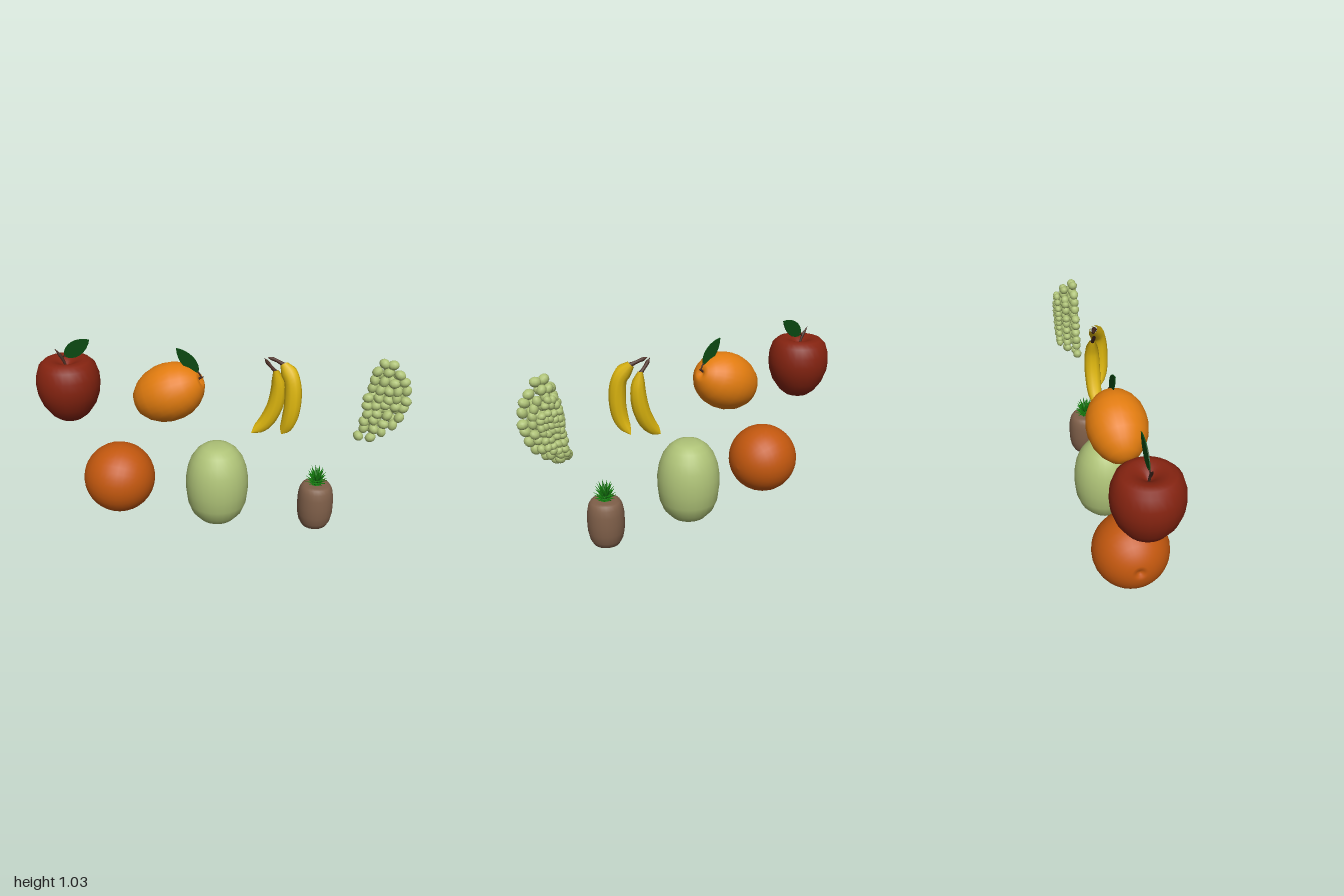
import * as THREE from 'three';

const mat = (name, color, extra = {}) => {
  const m = new THREE.MeshStandardMaterial({ color, ...extra });
  m.name = name;
  return m;
};

const V = (x, y, z = 0) => new THREE.Vector3(x, y, z);

export function createModel() {
  const M = {
    red: mat('apple red', 0x842310),
    orange: mat('deep orange', 0xc2570e),
    mango: mat('light orange', 0xe27c0f),
    green: mat('pale green', 0xaec277),
    yellow: mat('banana yellow', 0xddb60f),
    brown: mat('pineapple brown', 0x7f5f49),
    leaf: mat('dark leaf green', 0x0b4a12, { side: THREE.DoubleSide }),
    crown: mat('crown green', 0x16800f),
    stem: mat('stem brown', 0x4a2c22),
  };
  const root = new THREE.Group();
  root.name = 'fruitCollection';

  const group = (name, x = 0, y = 0, z = 0) => {
    const g = new THREE.Group();
    g.name = name;
    g.position.set(x, y, z);
    root.add(g);
    return g;
  };
  const add = (parent, name, geo, material) => {
    const m = new THREE.Mesh(geo, material);
    m.name = name;
    parent.add(m);
    return m;
  };
  const lathe = (pts, segs = 28) =>
    new THREE.LatheGeometry(pts.map(([r, y]) => new THREE.Vector2(r, y)), segs);

  // Tube whose radius follows a list of values spread along the path
  const taperedTube = (points, radii, n = 16, sides = 10) => {
    const curve = new THREE.CatmullRomCurve3(points);
    const geo = new THREE.TubeGeometry(curve, n, 1, sides);
    const pos = geo.attributes.position;
    const v = V(0, 0);
    for (let i = 0; i <= n; i++) {
      const c = curve.getPointAt(i / n);
      const t = (i / n) * (radii.length - 1);
      const k = Math.min(Math.floor(t), radii.length - 2);
      const r = THREE.MathUtils.lerp(radii[k], radii[k + 1], t - k);
      for (let j = 0; j <= sides; j++) {
        const id = i * (sides + 1) + j;
        v.fromBufferAttribute(pos, id).sub(c).multiplyScalar(r).add(c);
        pos.setXYZ(id, v.x, v.y, v.z);
      }
    }
    return geo;
  };

  // Flat pointed leaf from a base point to a tip, standing in the xy plane
  const addLeaf = (parent, name, base, tip, width) => {
    const d = tip.clone().sub(base);
    const L = d.length();
    const s = new THREE.Shape();
    s.moveTo(0, 0);
    s.bezierCurveTo(L * 0.2, width * 1.4, L * 0.7, width * 1.2, L, 0);
    s.bezierCurveTo(L * 0.7, -width * 1.2, L * 0.2, -width * 1.4, 0, 0);
    const geo = new THREE.ExtrudeGeometry(s, { depth: 0.005, bevelEnabled: false, curveSegments: 8 });
    geo.translate(0, 0, -0.0025);
    const m = add(parent, name, geo, M.leaf);
    m.position.copy(base);
    m.rotation.z = Math.atan2(d.y, d.x);
  };

  // Apple with dimples, stem and leaf
  const apple = group('apple', -0.827, 0.555);
  add(apple, 'appleBody', lathe([
    [0, 0.05], [0.03, 0.035], [0.05, 0.003], [0.07, 0], [0.105, 0.028], [0.145, 0.085],
    [0.168, 0.15], [0.173, 0.2], [0.17, 0.25], [0.152, 0.305], [0.125, 0.33], [0.095, 0.337],
    [0.06, 0.328], [0.03, 0.31], [0, 0.285],
  ]), M.red);
  add(apple, 'appleStem', taperedTube(
    [V(0, 0.28), V(-0.025, 0.34), V(-0.065, 0.392)], [0.006, 0.007, 0.009, 0], 12, 6), M.stem);
  add(apple, 'appleTwig', taperedTube(
    [V(-0.024, 0.338), V(-0.015, 0.352), V(0.002, 0.36)], [0.004, 0.004], 4, 6), M.stem);
  addLeaf(apple, 'appleLeaf', V(-0.012, 0.352), V(0.138, 0.456), 0.043);

  // Round orange with its navel facing sideways
  const orange = group('orange', -0.565, 0.2);
  const ball = [];
  for (let i = 0; i <= 17; i++) {
    const a = -Math.PI / 2 + (i / 18) * Math.PI * 0.985;
    ball.push([Math.max(0, 0.2 * Math.cos(a)), 0.2 * Math.sin(a)]);
  }
  ball.push([0.025, 0.194], [0.014, 0.183], [0, 0.18]);
  add(orange, 'orangeBody', lathe(ball, 32), M.orange).rotation.z = 1.5;

  // Tilted oval fruit with stem and leaf
  const mango = group('mango', -0.262, 0.75);
  add(mango, 'mangoBody', lathe([
    [0, -0.197], [0.035, -0.195], [0.075, -0.175], [0.115, -0.132], [0.142, -0.08], [0.155, -0.02],
    [0.155, 0.03], [0.144, 0.085], [0.12, 0.132], [0.085, 0.17], [0.05, 0.193], [0.03, 0.198],
    [0.016, 0.188], [0, 0.183],
  ]), M.mango).rotation.z = -1.134;
  add(mango, 'mangoStem', taperedTube(
    [V(0.155, 0.078), V(0.175, 0.098), V(0.195, 0.106)], [0.005, 0.006, 0.006, 0], 10, 6), M.stem);
  add(mango, 'mangoTwig', taperedTube(
    [V(0.178, 0.1), V(0.173, 0.115), V(0.16, 0.135)], [0.004, 0.004], 5, 6), M.stem);
  addLeaf(mango, 'mangoLeaf', V(0.165, 0.126), V(0.047, 0.252), 0.038);

  // Tall pale melon
  const melon = group('melon', 0.002, 0);
  add(melon, 'melonBody', lathe([
    [0, 0.018], [0.04, 0.008], [0.06, 0], [0.1, 0.02], [0.14, 0.065], [0.163, 0.125], [0.172, 0.2],
    [0.172, 0.265], [0.162, 0.33], [0.142, 0.385], [0.112, 0.428], [0.078, 0.455], [0.042, 0.465], [0, 0.465],
  ]), M.green);

  // Pineapple body and rings of pointed crown leaves
  const pineapple = group('pineapple', 0.548, 0);
  add(pineapple, 'pineappleBody', lathe([
    [0, 0.03], [0.045, 0.03], [0.07, 0.045], [0.086, 0.075], [0.095, 0.12], [0.097, 0.17],
    [0.095, 0.225], [0.088, 0.262], [0.076, 0.284], [0.06, 0.29], [0, 0.29],
  ], 24), M.brown);
  const crown = new THREE.Group();
  crown.name = 'pineappleCrown';
  pineapple.add(crown);
  const core = add(crown, 'crownCore', new THREE.CylinderGeometry(0.014, 0.028, 0.05, 10), M.crown);
  core.position.y = 0.31;
  // [base height, tilt from upright, leaf length]
  [[0.295, 1.3, 0.052], [0.304, 1.0, 0.056], [0.316, 0.72, 0.06], [0.326, 0.42, 0.066]].forEach(([y, tilt, len], ring) => {
    for (let i = 0; i < 10; i++) {
      const blade = new THREE.ConeGeometry(0.012, len, 4);
      blade.scale(1, 1, 0.5);
      blade.translate(0, len / 2, 0);
      blade.rotateX(tilt);
      blade.translate(0, y, 0.012);
      blade.rotateY(((i + ring * 0.5) / 10) * Math.PI * 2);
      add(crown, 'crownLeaf', blade, M.crown);
    }
  });

  // Two bananas joined at their stems
  const bananas = group('bananas');
  const skin = [0.012, 0.032, 0.04, 0.043, 0.044, 0.043, 0.042, 0.038, 0.028, 0];
  add(bananas, 'bananaRight', taperedTube([
    V(0.307, 0.925), V(0.325, 0.84), V(0.31, 0.73), V(0.262, 0.63), V(0.187, 0.556)], skin, 24), M.yellow);
  add(bananas, 'bananaLeft', taperedTube([
    V(0.35, 0.968, 0.018), V(0.398, 0.9, 0.05), V(0.408, 0.78, 0.064), V(0.39, 0.67, 0.06), V(0.352, 0.583, 0.035),
  ], [0.02, 0.042, ...skin.slice(2)], 24), M.yellow);
  add(bananas, 'bananaStemRight', taperedTube(
    [V(0.248, 0.985), V(0.275, 0.95), V(0.312, 0.912)], [0, 0.011, 0.009, 0.009, 0.013], 10, 8), M.stem);
  add(bananas, 'bananaStemLeft', taperedTube(
    [V(0.262, 0.99), V(0.3, 0.983, 0.004), V(0.358, 0.962, 0.022)], [0, 0.011, 0.009, 0.01, 0.015], 10, 8), M.stem);

  // Grape bunch: three shrinking layers of staggered rows
  let seed = 7;
  const rnd = () => (seed = (seed * 16807) % 2147483647) / 2147483647 - 0.5;
  const grapes = group('grapes', 0.87, 0.797);
  const berry = new THREE.SphereGeometry(1, 10, 7);
  // [height, first x, last x, count]
  const rows = [
    [0.995, 0.85, 0.89, 2], [0.955, 0.815, 0.92, 3], [0.91, 0.80, 0.945, 4], [0.865, 0.795, 0.963, 5],
    [0.82, 0.785, 0.965, 5], [0.775, 0.78, 0.955, 5], [0.73, 0.778, 0.935, 4], [0.685, 0.772, 0.91, 4],
    [0.64, 0.765, 0.865, 3], [0.598, 0.752, 0.805, 2],
  ];
  [[0, 1, 1, 0.026], [-0.052, 0.78, 0.87, 0.0235], [-0.094, 0.56, 0.7, 0.019]].forEach(([z, sx, sy, r]) => {
    for (const [y, x0, x1, n] of rows) {
      for (let i = 0; i < n; i++) {
        const g = add(grapes, 'grape', berry, M.green);
        const x = x0 + ((x1 - x0) * i) / (n - 1);
        g.position.set((x - 0.87 + rnd() * 0.012) * sx, (y - 0.797 + rnd() * 0.02) * sy, z);
        g.scale.set(r * 1.12, r * 0.92, r);
        g.rotation.z = rnd() * 3;
      }
    }
  });

  return root;
}
